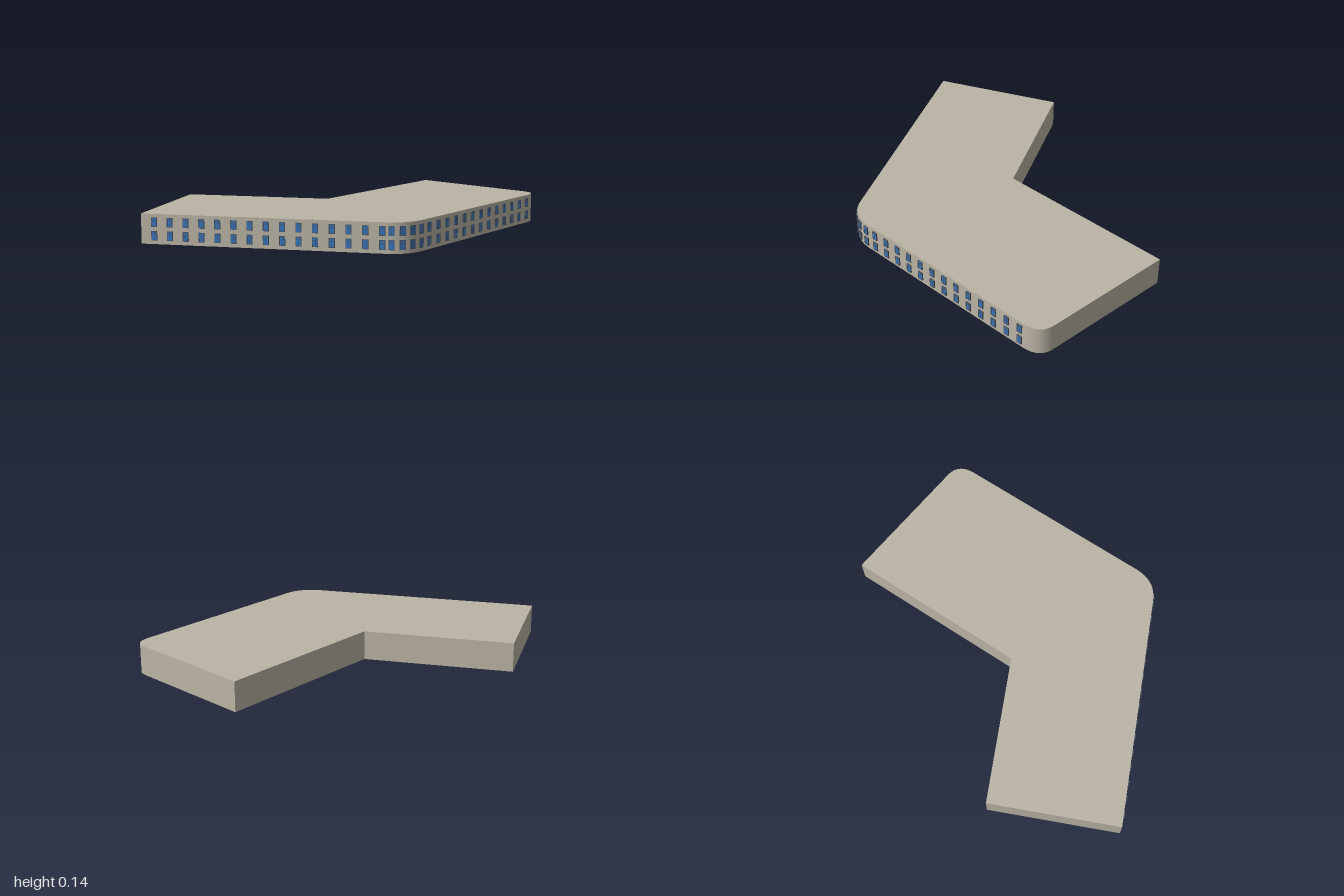
import * as THREE from 'three';
import { toCreasedNormals } from 'three/addons/utils/BufferGeometryUtils.js';

const HEIGHT = 0.145;
const v = (x, z) => new THREE.Vector2(x, z);

// Outer facade in plan (x, z): front leg, rounded bend, rear leg
const frontLeg = new THREE.LineCurve(v(-0.26, 1), v(0.62, 0.226));
const bend = new THREE.QuadraticBezierCurve(v(0.62, 0.226), v(0.706, 0.15), v(0.665, 0.03));
const rearLeg = new THREE.LineCurve(v(0.665, 0.03), v(0.375, -0.915));

const wallMat = new THREE.MeshStandardMaterial({ color: 0xbab4a4 });
const frameMat = new THREE.MeshStandardMaterial({ color: 0x4a5360 });
const glassMat = new THREE.MeshStandardMaterial({ color: 0x3478c8 });

function box(name, w, h, d, x, y, z, material) {
  const mesh = new THREE.Mesh(new THREE.BoxGeometry(w, h, d), material);
  mesh.name = name;
  mesh.position.set(x, y, z);
  return mesh;
}

// One window facing +z, with a frame, a transom and a mullion
function createWindow() {
  const w = 0.028, h = 0.045, bar = 0.003, depth = 0.012;
  const group = new THREE.Group();
  group.name = 'window';
  group.add(box('glass', w - bar, h - bar, 0.008, 0, 0, 0, glassMat));
  for (const s of [-1, 1]) {
    group.add(box('frameSide', bar, h, depth, s * (w - bar) / 2, 0, 0, frameMat));
    group.add(box('frameRail', w - 2 * bar, bar, depth, 0, s * (h - bar) / 2, 0, frameMat));
  }
  group.add(box('transom', w - 2 * bar, 0.002, 0.010, 0, h * 0.2, 0, frameMat));
  group.add(box('mullion', 0.002, h - 2 * bar, 0.010, 0, 0, 0, frameMat));
  return group;
}

export function createModel() {
  const model = new THREE.Group();
  model.name = 'building';

  // Bent block with a sharp inner corner and rounded outer corners
  const plan = new THREE.Shape();
  plan.moveTo(-0.26, 1);
  plan.lineTo(0.62, 0.226);
  plan.quadraticCurveTo(0.706, 0.15, 0.665, 0.03);
  plan.lineTo(0.375, -0.915);
  plan.quadraticCurveTo(0.345, -1.016, 0.255, -0.995);
  plan.lineTo(-0.4, -0.87);
  plan.lineTo(-0.13, 0.01);
  plan.lineTo(-0.685, 0.5);
  plan.closePath();
  const geometry = new THREE.ExtrudeGeometry(plan, { depth: HEIGHT, bevelEnabled: false, curveSegments: 14 });
  geometry.rotateX(Math.PI / 2).translate(0, HEIGHT, 0);
  const block = new THREE.Mesh(toCreasedNormals(geometry, 0.5), wallMat);
  block.name = 'block';
  model.add(block);

  // Two rows of windows along the outer facade
  const windows = new THREE.Group();
  windows.name = 'windows';
  const addColumn = (curve, t) => {
    const p = curve.getPoint(t);
    const d = curve.getTangent(t);
    for (const y of [0.041, 0.106]) {
      const win = createWindow();
      win.position.set(p.x, y, p.y);
      win.rotation.y = Math.atan2(-d.y, d.x);
      windows.add(win);
    }
  };
  for (let i = 0; i < 15; i++) addColumn(frontLeg, 0.056 + i * 0.0669);
  for (const t of [0.15, 0.4, 0.65, 0.9]) addColumn(bend, t);
  for (let i = 0; i < 13; i++) addColumn(rearLeg, 0.04 + i * 0.0788);
  model.add(windows);

  return model;
}
